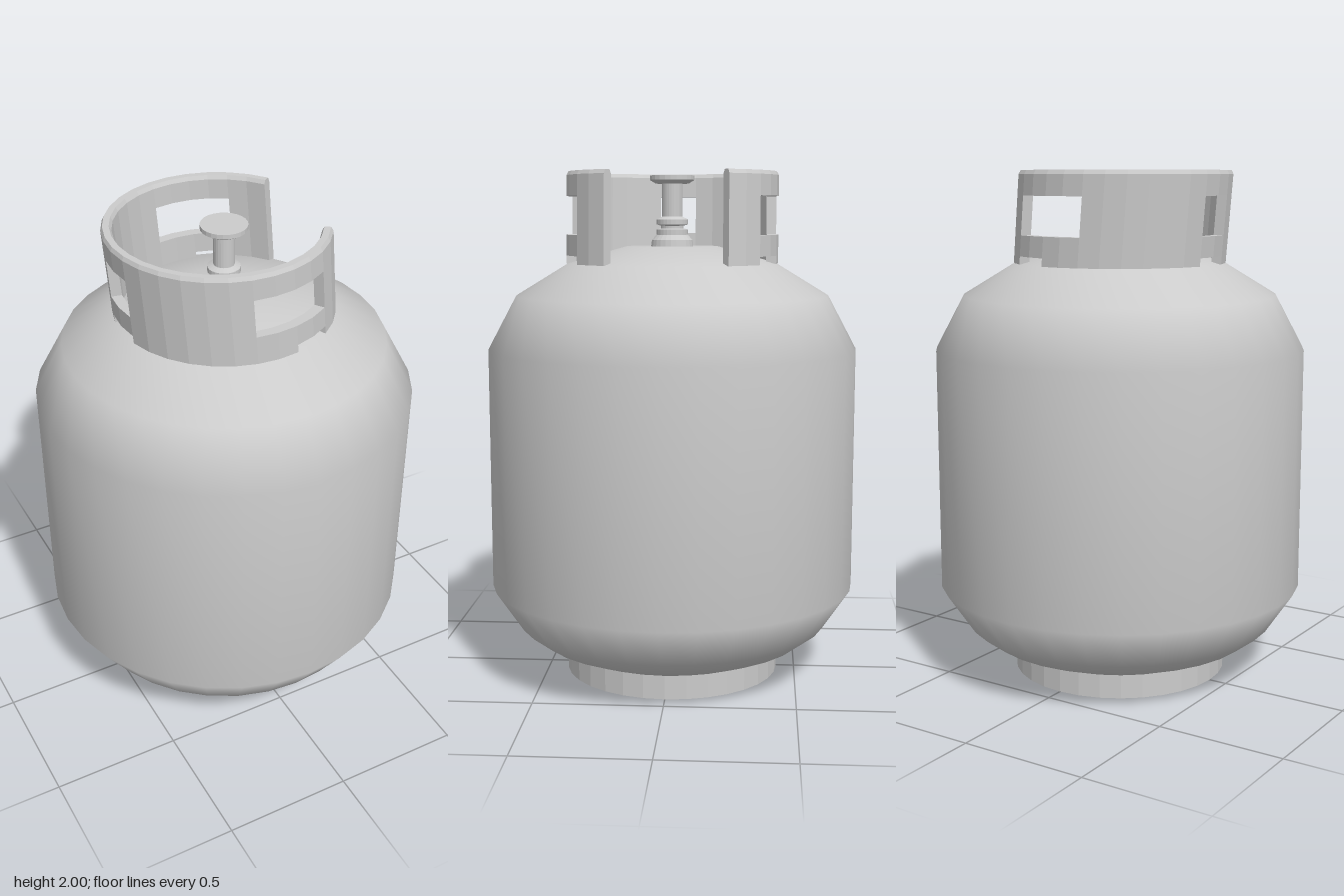
import * as THREE from 'three';

const SEG = 32;
const material = new THREE.MeshStandardMaterial({ color: 0xcccccc });
const flatMaterial = new THREE.MeshStandardMaterial({ color: 0xcccccc, flatShading: true });

function lathe(name, points, segments, mat) {
  const profile = points.map(([r, y]) => new THREE.Vector2(r, y));
  const mesh = new THREE.Mesh(new THREE.LatheGeometry(profile, segments), mat);
  mesh.name = name;
  return mesh;
}

// Leaning guard ring: a curved grid of cells, with some left out as windows and notches
function collarGeometry() {
  const FIRST = 3, LAST = 28; // columns; the gap faces +x
  const ROWS = [1.645, 1.676, 1.756, 1.905, 1.985, 2];
  const OUTER = 0.417, INNER = 0.377, BEVEL = 0.008;
  const top = ROWS.length - 1;

  const solid = (col, row) => {
    if (col < FIRST || col > LAST || row < 0 || row >= top) return false;
    const c = Math.min(col, SEG - 1 - col); // mirrored about z = 0
    if (row === 2) return !((c >= 5 && c <= 8) || c === 15); // windows
    if (row === 0) return !(c === 5 || c === 6 || c === 15); // notches
    return true;
  };

  const point = (col, row, outside) => {
    const inset = row === top ? BEVEL : 0;
    const r = outside ? OUTER - inset : INNER + inset;
    const a = (col / SEG) * Math.PI * 2;
    const y = ROWS[row];
    const lean = -0.03 * (y - ROWS[0]) / (ROWS[top] - ROWS[0]);
    return [r * Math.cos(a) + lean, y, r * Math.sin(a)];
  };

  const positions = [];
  const quad = (a, b, c, d) => positions.push(...a, ...b, ...c, ...a, ...c, ...d);

  for (let c = FIRST; c <= LAST; c++) {
    for (let r = 0; r < top; r++) {
      if (!solid(c, r)) continue;
      const [o00, o01, o11, o10] = [[c, r], [c, r + 1], [c + 1, r + 1], [c + 1, r]].map(([i, j]) => point(i, j, true));
      const [i00, i01, i11, i10] = [[c, r], [c, r + 1], [c + 1, r + 1], [c + 1, r]].map(([i, j]) => point(i, j, false));
      quad(o00, o01, o11, o10);
      quad(i00, i10, i11, i01);
      if (!solid(c, r + 1)) quad(o01, i01, i11, o11);
      if (!solid(c, r - 1)) quad(o00, o10, i10, i00);
      if (!solid(c - 1, r)) quad(o00, i00, i01, o01);
      if (!solid(c + 1, r)) quad(o10, o11, i11, i10);
    }
  }
  const geometry = new THREE.BufferGeometry();
  geometry.setAttribute('position', new THREE.Float32BufferAttribute(positions, 3));
  geometry.computeVertexNormals();
  return geometry;
}

export function createModel() {
  const model = new THREE.Group();
  model.name = 'gasCylinder';

  // Smooth tank with a shallow conical top
  model.add(lathe('tank', [
    [0, 0.095], [0.43, 0.095], [0.54, 0.14], [0.62, 0.2], [0.727, 0.36],
    [0.727, 1.31], [0.615, 1.52], [0.41, 1.645], [0.18, 1.71], [0, 1.71],
  ], SEG, material));

  // Foot ring
  const foot = new THREE.Mesh(new THREE.CylinderGeometry(0.427, 0.427, 0.1, SEG), flatMaterial);
  foot.name = 'foot';
  foot.position.y = 0.05;
  model.add(foot);

  // Guard collar
  const collar = new THREE.Mesh(collarGeometry(), flatMaterial);
  collar.name = 'collar';
  model.add(collar);

  // Valve: stepped base, stem and hand wheel
  model.add(lathe('valve', [
    [0.085, 1.70], [0.08, 1.735], [0.062, 1.755], [0.062, 1.775], [0.045, 1.78],
    [0.045, 1.79], [0.062, 1.795], [0.062, 1.815], [0.04, 1.825], [0.04, 1.955], [0, 1.955],
  ], 24, flatMaterial));
  model.add(lathe('handWheel', [
    [0, 1.953], [0.065, 1.953], [0.088, 1.967], [0.088, 1.984], [0, 1.984],
  ], 24, flatMaterial));

  return model;
}
